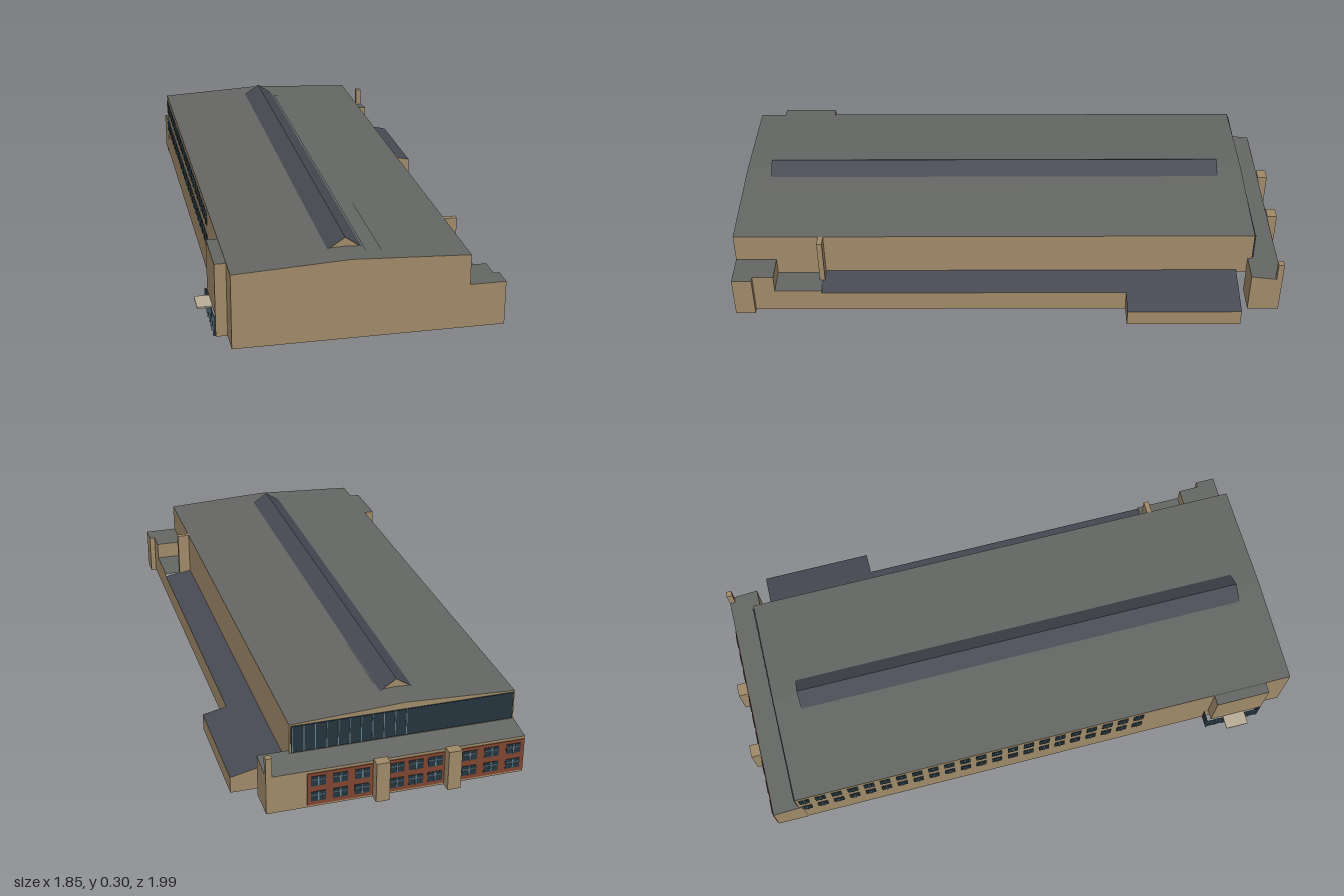
import * as THREE from 'three';
import { mergeGeometries } from 'three/addons/utils/BufferGeometryUtils.js';

const mat = (color) => new THREE.MeshStandardMaterial({ color, side: THREE.DoubleSide, flatShading: true });

// Flat convex polygons, each a list of [x, y, z] corners
function polygons(...polys) {
  const pos = [];
  for (const p of polys)
    for (let i = 1; i < p.length - 1; i++) pos.push(...p[0], ...p[i], ...p[i + 1]);
  const g = new THREE.BufferGeometry();
  g.setAttribute('position', new THREE.Float32BufferAttribute(pos, 3));
  g.computeVertexNormals();
  return g;
}

// Box given by its limits
function box(x0, x1, y0, y1, z0, z1) {
  return new THREE.BoxGeometry(x1 - x0, y1 - y0, z1 - z0)
    .translate((x0 + x1) / 2, (y0 + y1) / 2, (z0 + z1) / 2);
}

// Walls only: a vertical sheet through plan points [x, z]
function walls(y0, y1, ...plan) {
  const quads = [];
  for (let i = 0; i < plan.length - 1; i++) {
    const [a, b] = [plan[i], plan[i + 1]];
    quads.push([[a[0], y0, a[1]], [b[0], y0, b[1]], [b[0], y1, b[1]], [a[0], y1, a[1]]]);
  }
  return polygons(...quads);
}

export function createModel() {
  // Local frame: z runs along the hall, x across it
  const model = new THREE.Group();
  model.rotation.y = 0.675;
  const tan = mat(0xa08a69), grey = mat(0x656764), slate = mat(0x484b54);
  const glass = mat(0x25343c), frame = mat(0x62808f), brick = mat(0x80452f), pale = mat(0xb8ae98);
  const add = (name, material, ...geos) => {
    const mesh = new THREE.Mesh(geos.length > 1 ? mergeGeometries(geos.map((g) => {
      const n = g.index ? g.toNonIndexed() : g;
      n.deleteAttribute('uv');
      return n;
    })) : geos[0], material);
    mesh.name = name;
    model.add(mesh);
  };

  // Main hall
  const L = -0.424, R = 0.318, B = -0.86, F = 0.93, E = 0.245, ridgeX = -0.057, ridgeY = 0.263;
  add('hallWalls', tan,
    walls(0, E, [L, B], [L, F]),
    walls(0.085, E, [R, B], [R, F]),
    polygons([[L, 0, F], [R, 0, F], [R, E, F], [ridgeX, ridgeY, F], [L, E, F]],
      [[L, 0.14, B], [R, 0.14, B], [R, E, B], [ridgeX, ridgeY, B], [L, E, B]]));
  add('hallRoof', grey, polygons(
    [[L, E, B], [L, E, F], [ridgeX, ridgeY, F], [ridgeX, ridgeY, B]],
    [[R, E, F], [R, E, B], [ridgeX, ridgeY, B], [ridgeX, ridgeY, F]]));

  // Ridge monitor on the roof
  const m0 = -0.115, m1 = 0.0, mz0 = -0.77, mz1 = 0.84, my = 0.258, mt = 0.297;
  add('ridgeMonitorRoof', slate, polygons(
    [[m0, my, mz0], [m0, my, mz1], [ridgeX, mt, mz1], [ridgeX, mt, mz0]],
    [[m1, my, mz1], [m1, my, mz0], [ridgeX, mt, mz0], [ridgeX, mt, mz1]]));
  add('ridgeMonitorGables', tan, polygons(...[mz0 + 0.01, mz1 - 0.01].map((z) =>
    [[m0 + 0.005, my, z], [m1 - 0.005, my, z], [ridgeX, mt - 0.003, z]])));
  add('roofStrip', grey, polygons([[m1, 0.2625, -0.72], [m1, 0.2625, 0.87], [0.05, 0.2595, 0.87], [0.05, 0.2595, -0.72]]));

  // Two rows of windows along the hall
  const panes = [], bars = [];
  const count = 22, pitch = 1.264 / count;
  for (const y of [0.102, 0.18])
    for (let i = 0; i < count; i++) {
      const z = -0.85 + i * pitch;
      panes.push(box(L - 0.002, L + 0.001, y, y + 0.045, z, z + 0.036));
      bars.push(box(L - 0.004, L, y, y + 0.045, z + 0.016, z + 0.02),
        box(L - 0.004, L, y + 0.028, y + 0.031, z, z + 0.036));
    }
  add('sideWindows', glass, ...panes);
  add('sideWindowBars', frame, ...bars);

  // Entrance bay with glazed doors and canopy
  const ex = -0.46;
  add('entranceBay', tan, walls(0.07, 0.243, [L, 0.65], [ex, 0.65], [ex, 0.84], [L, 0.84]),
    walls(0, 0.07, [L, 0.84], [ex, 0.84]));
  add('entranceRoof', grey, polygons([[L, 0.243, 0.65], [ex, 0.243, 0.65], [ex, 0.243, 0.84], [L, 0.243, 0.84]]));
  add('entranceGlass', glass, walls(0, 0.07, [L, 0.637], [ex - 0.004, 0.637], [ex - 0.004, 0.835], [L, 0.835]));
  const doorBars = [];
  for (let i = 0; i <= 6; i++) doorBars.push(box(ex - 0.007, ex - 0.003, 0, 0.07, 0.637 + i * 0.032, 0.641 + i * 0.032));
  add('entranceBars', frame, ...doorBars);
  add('entranceCanopy', pale, box(-0.508, ex, 0.068, 0.073, 0.695, 0.775));

  // Low rear block
  const bz = -0.952, bl = -0.426, br = 0.417, by = 0.131, bt = 0.145;
  add('rearBlockWalls', tan, walls(0, by, [bl, bz], [br, bz]),
    polygons(...[bl, br].map((x) => [[x, 0, bz], [x, 0, -0.845], [x, bt, -0.845], [x, by, bz]])),
    walls(0, bt, [br, -0.845], [R, -0.845]));
  add('rearBlockRoof', grey, polygons([[bl, by, bz], [br, by, bz], [br, bt, -0.845], [bl, bt, -0.845]]));
  add('rearPost', tan, box(br - 0.02, br, 0.1, 0.197, bz, bz + 0.02));
  const piers = [0.055, -0.18];
  add('rearPiers', tan, ...piers.map((x) => box(x - 0.022, x + 0.022, 0, 0.138, -0.986, bz)));

  // Brick bays with paired windows
  const bays = [[0.078, 0.288], [-0.157, 0.032], [-0.424, -0.203]];
  add('brickBays', brick, ...bays.map(([a, b]) => box(a, b, 0.008, 0.122, bz - 0.003, bz)));
  const rearPanes = [], rearBars = [];
  for (const [a, b] of bays)
    for (const y of [0.022, 0.077])
      for (let i = 0; i < 3; i++) {
        const w = (b - a) / 3, x = a + w * (i + 0.5);
        rearPanes.push(box(x - 0.024, x + 0.024, y, y + 0.034, bz - 0.005, bz));
        rearBars.push(box(x - 0.002, x + 0.002, y, y + 0.034, bz - 0.007, bz),
          box(x - 0.024, x + 0.024, y + 0.022, y + 0.025, bz - 0.007, bz));
      }
  add('rearWindows', glass, ...rearPanes);
  add('rearWindowBars', frame, ...rearBars);

  // Glazed upper end wall
  add('endGlazing', glass, box(L + 0.005, R - 0.005, 0.147, 0.24, B - 0.004, B));
  const mullions = [];
  for (let i = 0; i <= 10; i++) mullions.push(box(R - 0.01 - i * 0.037, R - 0.007 - i * 0.037, 0.147, 0.24, B - 0.006, B));
  add('endMullions', frame, ...mullions);

  // Lean-to along the other side, with a wider far part
  const ax = 0.415, wx = 0.495, a0 = -0.81, a1 = -0.42, a2 = 0.63;
  const h0 = 0.093, h1 = 0.074, h2 = 0.056;
  add('leanToRoof', slate, polygons(
    [[R, h0, a0], [R, h0, a2], [ax, h1, a2], [ax, h1, a0]],
    [[ax, h1, a0], [ax, h1, a1], [wx, h2, a1], [wx, h2, a0]]));
  add('leanToWalls', tan, walls(0, h1, [ax, a1], [ax, a2]), walls(0, h2, [wx, a0], [wx, a1]),
    polygons([[ax, 0, a1], [wx, 0, a1], [wx, h2, a1], [ax, h1, a1]],
      [[R, 0, a0], [wx, 0, a0], [wx, h2, a0], [ax, h1, a0], [R, h0, a0]]));

  // Stepped corner block at the front end
  const cx = 0.434, ct = 0.145, c0 = 0.79, c1 = 0.862, low = 0.085;
  add('cornerBlockWalls', tan,
    walls(0, ct, [R, F], [cx, F], [cx, c1], [ax, c1], [ax, c0]),
    walls(low, ct, [ax, c0], [R, c0]),
    walls(0, low, [ax, c0], [ax, a2]));
  add('cornerBlockRoof', grey, polygons(
    [[R, ct, c1], [cx, ct, c1], [cx, ct, F], [R, ct, F]],
    [[R, ct, c0], [ax, ct, c0], [ax, ct, c1], [R, ct, c1]],
    [[R, low, a2], [ax, low, a2], [ax, low, c0], [R, low, c0]]));
  add('wallFin', tan, box(R, 0.36, 0.075, E, 0.622, 0.64));

  const root = new THREE.Group();
  root.name = 'building';
  model.name = 'rotatedBuilding';
  root.add(model);
  return root;
}
